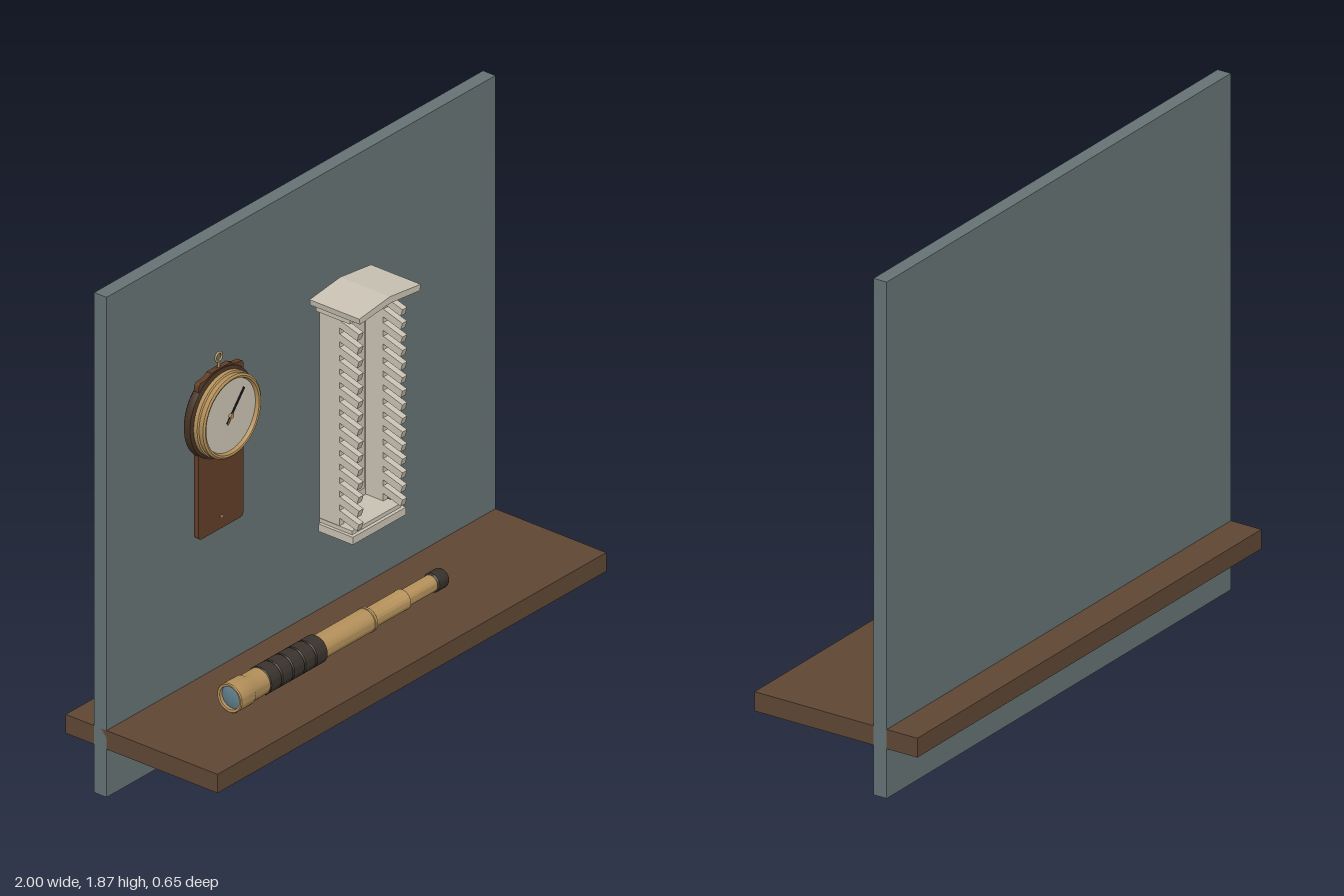
import * as THREE from 'three';
import { toCreasedNormals } from 'three/addons/utils/BufferGeometryUtils.js';

const material = (name, color) => {
  const m = new THREE.MeshStandardMaterial({ color });
  m.name = name;
  return m;
};

export function createModel() {
  const wallPaint = material('slate wall', 0x647173);
  const shelfWood = material('shelf wood', 0x5e4633);
  const caseWood = material('red brown wood', 0x603d27);
  const darkWood = material('dark wood', 0x443022);
  const brass = material('brass', 0xb3905a);
  const leather = material('dark leather', 0x39322c);
  const cream = material('cream paint', 0xc8c1b2);
  const black = material('black', 0x24211f);
  const glass = material('lens glass', 0x5f7f8c);

  const model = new THREE.Group();
  const group = (name) => {
    const g = new THREE.Group();
    g.name = name;
    model.add(g);
    return g;
  };
  const add = (parent, name, geometry, mat, x = 0, y = 0, z = 0) => {
    const mesh = new THREE.Mesh(geometry, mat);
    mesh.name = name;
    mesh.position.set(x, y, z);
    parent.add(mesh);
    return mesh;
  };
  // Box given by its extents on each axis
  const box = (parent, name, mat, x0, x1, y0, y1, z0, z1) =>
    add(parent, name, new THREE.BoxGeometry(x1 - x0, y1 - y0, z1 - z0), mat,
      (x0 + x1) / 2, (y0 + y1) / 2, (z0 + z1) / 2);
  // Turned solid; the profile lists [radius, distance along axis]
  const turned = (profile, sides = 48) => toCreasedNormals(
    new THREE.LatheGeometry(profile.map(([r, d]) => new THREE.Vector2(r, d)), sides), 0.6);
  const alongX = (profile) => turned(profile, 40).rotateZ(-Math.PI / 2);
  const alongZ = (profile) => turned(profile, 64).rotateX(Math.PI / 2);

  // Wall and shelf
  const display = group('display');
  box(display, 'wall', wallPaint, -1, 1, 0, 1.87, -0.203, -0.15);
  box(display, 'shelf', shelfWood, -1, 1, 0.18, 0.25, -0.325, 0.325);

  // Barometer
  const barometer = group('barometer');
  barometer.position.set(-0.465, 1.235, 0);
  const w = 0.115, top = 0.15, bottom = -0.435, c = 0.018;
  const plate = new THREE.Shape();
  plate.moveTo(-w + c, bottom);
  plate.lineTo(w - c, bottom);
  plate.quadraticCurveTo(w, bottom, w, bottom + c);
  plate.lineTo(w, top - c);
  plate.quadraticCurveTo(w, top, w - c, top);
  plate.quadraticCurveTo(0.07, top, 0.05, 0.165);
  plate.lineTo(-0.05, 0.165);
  plate.quadraticCurveTo(-0.07, top, -w + c, top);
  plate.quadraticCurveTo(-w, top, -w, top - c);
  plate.lineTo(-w, bottom + c);
  plate.quadraticCurveTo(-w, bottom, -w + c, bottom);
  add(barometer, 'backPlate', new THREE.ExtrudeGeometry(plate, { depth: 0.02, bevelEnabled: false }),
    caseWood, 0, 0, -0.125);
  add(barometer, 'roundCase', alongZ([[0, -0.135], [0.155, -0.135], [0.165, -0.127],
    [0.166, -0.115], [0.163, -0.102], [0.152, -0.095], [0, -0.095]]), darkWood);
  add(barometer, 'bezel', alongZ([[0.14, -0.095], [0.153, -0.095], [0.153, -0.08], [0.148, -0.076],
    [0.15, -0.07], [0.15, -0.058], [0.143, -0.053], [0.136, -0.055], [0.132, -0.066], [0.132, -0.075]]), brass);
  add(barometer, 'dial', new THREE.CircleGeometry(0.134, 64), cream, 0, 0, -0.068);
  const needle = box(barometer, 'needle', black, -0.004, 0.004, -0.03, 0.105, -0.064, -0.061);
  needle.geometry.translate(0, 0.0375, 0);
  needle.position.set(0, 0, -0.062);
  needle.rotation.z = -0.7;
  const setHand = add(barometer, 'setHand', new THREE.BoxGeometry(0.005, 0.045, 0.003), brass, -0.006, -0.008, -0.059);
  setHand.rotation.z = -0.7;
  add(barometer, 'needleHub', alongZ([[0, -0.066], [0.008, -0.066], [0.008, -0.056], [0, -0.055]]), brass);
  add(barometer, 'hangingRing', new THREE.TorusGeometry(0.016, 0.004, 10, 32), brass, 0, 0.203, -0.115);
  add(barometer, 'ringStem', new THREE.CylinderGeometry(0.005, 0.005, 0.03, 12), brass, 0, 0.175, -0.115);
  add(barometer, 'screw', alongZ([[0, -0.106], [0.006, -0.106], [0.006, -0.102], [0, -0.101]]), brass, 0, -0.39, 0);

  // Louvred thermometer screen
  const screen = group('thermometerScreen');
  screen.position.x = 0.16;
  box(screen, 'base', cream, -0.137, 0.137, 0.59, 0.618, -0.095, 0.053);
  box(screen, 'baseStep', cream, -0.125, 0.125, 0.618, 0.632, -0.1, 0.04);
  box(screen, 'backBoard', cream, -0.123, 0.123, 0.63, 1.41, -0.102, -0.09);
  box(screen, 'scaleBoard', cream, -0.086, 0.086, 0.665, 1.37, -0.09, -0.08);
  box(screen, 'cornice', cream, -0.137, 0.137, 1.41, 1.437, -0.105, 0.04);
  for (const side of [-1, 1]) {
    const x = side * 0.112;
    box(screen, 'sideWall', cream, x - 0.011, x + 0.011, 0.63, 1.41, -0.1, -0.015);
    for (let i = 0; i < 15; i++) {
      const slat = add(screen, 'louvre', new THREE.BoxGeometry(0.024, 0.028, 0.086), cream,
        x, 0.664 + i * 0.0508, 0.023);
      slat.rotation.x = 0.3;
    }
  }
  const gable = new THREE.Shape([[-0.154, 1.436], [0, 1.452], [0.154, 1.436],
    [0.158, 1.458], [0, 1.477], [-0.158, 1.458]].map(([x, y]) => new THREE.Vector2(x, y)));
  add(screen, 'roof', new THREE.ExtrudeGeometry(gable, { depth: 0.213, bevelEnabled: false }),
    cream, 0, 0, -0.115);

  // Thermometer inside the screen
  add(screen, 'thermometerTube', new THREE.CylinderGeometry(0.003, 0.003, 0.25, 12), caseWood, 0.02, 0.905, -0.074);
  for (const y of [0.755, 1.21])
    box(screen, 'tubeClip', black, 0.003, 0.037, y - 0.003, y + 0.003, -0.08, -0.071);

  // Telescope lying on the shelf
  const telescope = group('telescope');
  telescope.position.set(0, 0.302, 0.079);
  add(telescope, 'objectiveRing', alongX([[0.042, -0.63], [0.042, -0.643], [0.05, -0.645], [0.053, -0.641],
    [0.053, -0.57], [0.049, -0.563], [0.048, -0.49], [0, -0.49]]), brass);
  add(telescope, 'objectiveLens', alongX([[0, -0.638], [0.03, -0.635], [0.043, -0.63], [0, -0.625]]), glass);
  // Grip with evenly spaced grooves
  const grip = [[0, -0.49]];
  for (let i = 0; i < 5; i++) {
    const x = -0.49 + i * 0.059;
    grip.push([0.047, x], [0.051, x + 0.004], [0.051, x + 0.055], [0.047, x + 0.059]);
  }
  grip.push([0, -0.195]);
  add(telescope, 'grip', alongX(grip), leather);
  add(telescope, 'mainTube', alongX([[0, -0.195], [0.043, -0.195], [0.043, 0.055], [0.045, 0.057],
    [0.045, 0.067], [0.041, 0.071], [0, 0.071]]), brass);
  add(telescope, 'middleTube', alongX([[0, 0.07], [0.036, 0.07], [0.036, 0.235], [0.037, 0.237],
    [0.037, 0.247], [0.033, 0.25], [0, 0.25]]), brass);
  add(telescope, 'drawTube', alongX([[0, 0.25], [0.03, 0.25], [0.03, 0.395], [0, 0.395]]), brass);
  add(telescope, 'eyepiece', alongX([[0, 0.392], [0.03, 0.392], [0.035, 0.398], [0.035, 0.442],
    [0.031, 0.45], [0.02, 0.45], [0.013, 0.437], [0, 0.437]]), leather);
  add(telescope, 'eyeLens', alongX([[0, 0.436], [0.012, 0.436], [0.011, 0.439], [0, 0.441]]), glass);

  return model;
}
